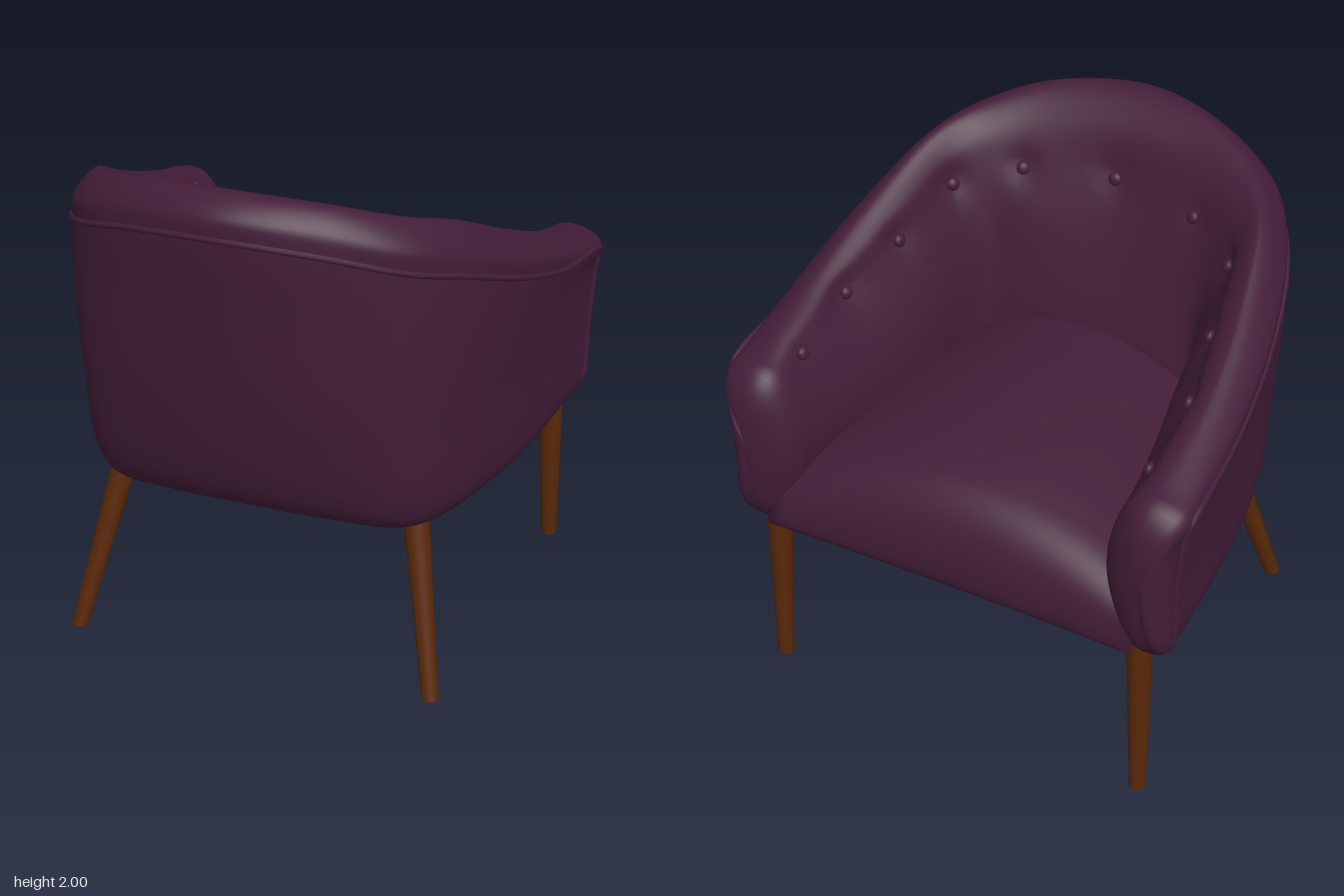
import * as THREE from 'three';

const V = (a) => new THREE.Vector3(a[0], a[1], a[2]);
const mirror = (v) => new THREE.Vector3(-v.x, v.y, v.z);

// Half rails of the wrap-around back and arms: back centre -> arm front
const RAILS = {
  under: [[0, .665, .53], [.3, .655, .52], [.54, .64, .475], [.635, .64, .385], [.73, .65, .08], [.8, .66, -.3], [.84, .68, -.72]],
  lower: [[0, .73, .645], [.32, .73, .625], [.575, .72, .55], [.695, .72, .41], [.8, .72, .09], [.86, .73, -.3], [.89, .73, -.74]],
  middle: [[0, 1.1, .765], [.34, 1.1, .725], [.61, 1.1, .61], [.74, 1.1, .42], [.835, 1.1, .1], [.88, 1.06, -.3], [.9, 1.0, -.75]],
  upper: [[0, 1.6, .84], [.36, 1.57, .77], [.615, 1.52, .635], [.765, 1.46, .42], [.855, 1.36, .09], [.9, 1.28, -.3], [.915, 1.24, -.75]],
  piping: [[0, 1.86, .865], [.36, 1.82, .785], [.615, 1.74, .635], [.765, 1.66, .41], [.865, 1.53, .08], [.92, 1.41, -.3], [.945, 1.33, -.72]],
  rollOut: [[0, 1.94, .855], [.37, 1.9, .765], [.62, 1.82, .62], [.76, 1.74, .4], [.865, 1.6, .07], [.915, 1.47, -.3], [.92, 1.37, -.72]],
  rollTop: [[0, 2, .75], [.34, 1.97, .68], [.56, 1.9, .53], [.68, 1.835, .34], [.77, 1.685, .02], [.82, 1.54, -.32], [.82, 1.405, -.72]],
  rollIn: [[0, 1.91, .61], [.35, 1.88, .55], [.53, 1.82, .43], [.62, 1.76, .3], [.69, 1.63, 0], [.75, 1.52, -.31], [.75, 1.39, -.72]],
  tuft: [[0, 1.72, .52], [.36, 1.7, .45], [.5, 1.68, .38], [.58, 1.64, .28], [.65, 1.54, 0], [.71, 1.45, -.3], [.695, 1.33, -.72]],
  inner: [[0, 1.42, .38], [.3, 1.41, .36], [.44, 1.37, .33], [.49, 1.33, .25], [.525, 1.26, 0], [.575, 1.19, -.3], [.63, 1.12, -.72]],
  seatLine: [[0, 1.14, .29], [.3, 1.1, .29], [.425, 1.05, .285], [.465, 1.0, .24], [.505, .97, 0], [.56, .95, -.3], [.645, .92, -.72]],
  innerFoot: [[0, .69, .3], [.27, .69, .29], [.4, .69, .27], [.48, .69, .2], [.56, .69, 0], [.66, .69, -.3], [.75, .69, -.72]],
};

const BUTTONS = [[0, 1.72, .52], [.36, 1.7, .45], [.58, 1.65, .29], [.65, 1.54, 0], [.71, 1.46, -.29], [.71, 1.38, -.6]];
const allButtons = BUTTONS.flatMap((b) => (b[0] ? [V(b), mirror(V(b))] : [V(b)]));

// Extends a half rail across the centre line
function fullRail(half) {
  const pts = half.map(V);
  return pts.slice(1).reverse().map(mirror).concat(pts);
}

// Skins a list of closed rings; the first and last rings shrink to a point
function skin(rings) {
  const m = rings[0].length;
  const pos = rings.flatMap((r) => r.flatMap((p) => [p.x, p.y, p.z]));
  const idx = [];
  for (let i = 0; i < rings.length - 1; i++) {
    for (let j = 0; j < m; j++) {
      const a = i * m + j, c = i * m + (j + 1) % m, b = a + m, d = c + m;
      idx.push(a, b, c, b, d, c);
    }
  }
  const g = new THREE.BufferGeometry();
  g.setAttribute('position', new THREE.Float32BufferAttribute(pos, 3));
  g.setIndex(idx);
  g.computeVertexNormals();
  return g;
}

function shellGeometry() {
  const N = 96, M = 72;
  const curves = Object.values(RAILS).map((r) => new THREE.CatmullRomCurve3(fullRail(r)));
  const rings = [];
  for (let i = 0; i <= N; i++) {
    const loop = new THREE.CatmullRomCurve3(curves.map((c) => c.getPoint(i / N)), true);
    const ring = [];
    for (let j = 0; j < M; j++) {
      const p = loop.getPoint(j / M);
      // Soft dimple around each button
      let dip = 0;
      for (const b of allButtons) dip = Math.max(dip, Math.exp(-p.distanceToSquared(b) / .004));
      const len = Math.hypot(p.x, p.z + .1) || 1;
      p.x += p.x / len * dip * .02;
      p.z += (p.z + .1) / len * dip * .02;
      ring.push(p);
    }
    rings.push(ring);
  }
  // Puffed arm fronts
  const puff = (ring) => {
    const c = ring.reduce((s, p) => s.add(p), new THREE.Vector3()).divideScalar(M);
    const out = [];
    for (let k = 1; k <= 10; k++) {
      const t = k / 10 * Math.PI / 2;
      const cos = k === 10 ? 0 : Math.cos(t);
      const sx = Math.pow(cos, .95), sy = Math.pow(cos, .65);
      out.push(ring.map((p) => new THREE.Vector3(
        c.x + (p.x - c.x) * sx, c.y + (p.y - c.y) * sy,
        c.z + (p.z - c.z) * sy - .145 * Math.sin(t))));
    }
    return out;
  };
  return skin([...puff(rings[0]).reverse(), ...rings, ...puff(rings[N])]);
}

// Seat: a crowned side profile swept across the width, narrowing to the back
function seatGeometry() {
  const profile = new THREE.CatmullRomCurve3([
    [0, .67, .4], [0, .67, 0], [0, .67, -.6], [0, .67, -.76], [0, .72, -.82], [0, .84, -.83],
    [0, .98, -.795], [0, 1.08, -.71], [0, 1.13, -.57], [0, 1.17, -.2], [0, 1.17, .15], [0, 1.13, .4],
  ].map(V), true);
  const rings = [], M = 72, N = 24;
  for (let i = -1; i <= N + 1; i++) {
    const u = 1 - THREE.MathUtils.clamp(i / N, 0, 1) * 2;
    rings.push(profile.getPoints(M).slice(0, M).map((p) => {
      if (i < 0 || i > N) return new THREE.Vector3(u * .6, .84, -.2);
      const w = THREE.MathUtils.mapLinear(p.z, -.82, .4, .76, .52);
      const crown = p.y > .67 ? -.38 * (p.y - .67) * u * u : 0;
      return new THREE.Vector3(u * w, p.y + crown, p.z);
    }));
  }
  return skin(rings);
}

// Tapered round leg leaning between two points, with level ends
function legMesh(top, bottom, material) {
  const a = V(top), b = V(bottom), dir = a.clone().sub(b);
  const g = new THREE.CylinderGeometry(.05, .032, 1, 24);
  g.applyMatrix4(new THREE.Matrix4().makeBasis(new THREE.Vector3(1, 0, 0), dir, new THREE.Vector3(0, 0, 1)));
  const mesh = new THREE.Mesh(g, material);
  mesh.position.copy(a).add(b).multiplyScalar(.5);
  return mesh;
}

export function createModel() {
  const fabric = new THREE.MeshStandardMaterial({ color: 0x431d38 });
  fabric.name = 'plum fabric';
  const wood = new THREE.MeshStandardMaterial({ color: 0x582808 });
  wood.name = 'brown wood';

  const chair = new THREE.Group();
  chair.name = 'armchair';
  const add = (mesh, name) => { mesh.name = name; chair.add(mesh); return mesh; };

  add(new THREE.Mesh(shellGeometry(), fabric), 'backAndArms');
  add(new THREE.Mesh(seatGeometry(), fabric), 'seat');

  // Piping along the back and arms, then down each arm front
  const half = RAILS.piping.concat([[.925, 1.25, -.75], [.902, 1.0, -.755], [.9, .85, -.75], [.893, .75, -.742], [.86, .695, -.73]]);
  const path = new THREE.CatmullRomCurve3(fullRail(half));
  add(new THREE.Mesh(new THREE.TubeGeometry(path, 200, .012, 8), fabric), 'piping');

  // Tufting buttons facing the seat
  for (const b of allButtons) {
    const button = add(new THREE.Mesh(new THREE.SphereGeometry(.027, 16, 12), fabric), 'button');
    button.position.copy(b);
    button.lookAt(0, b.y + .2, -.1 + Math.min(b.z, 0));
    button.scale.z = .7;
  }

  // Legs
  for (const s of [1, -1]) {
    add(legMesh([s * .765, .74, -.75], [s * .78, 0, -.765], wood), 'frontLeg');
    add(legMesh([s * .58, .7, .385], [s * .72, 0, .58], wood), 'backLeg');
  }
  return chair;
}
